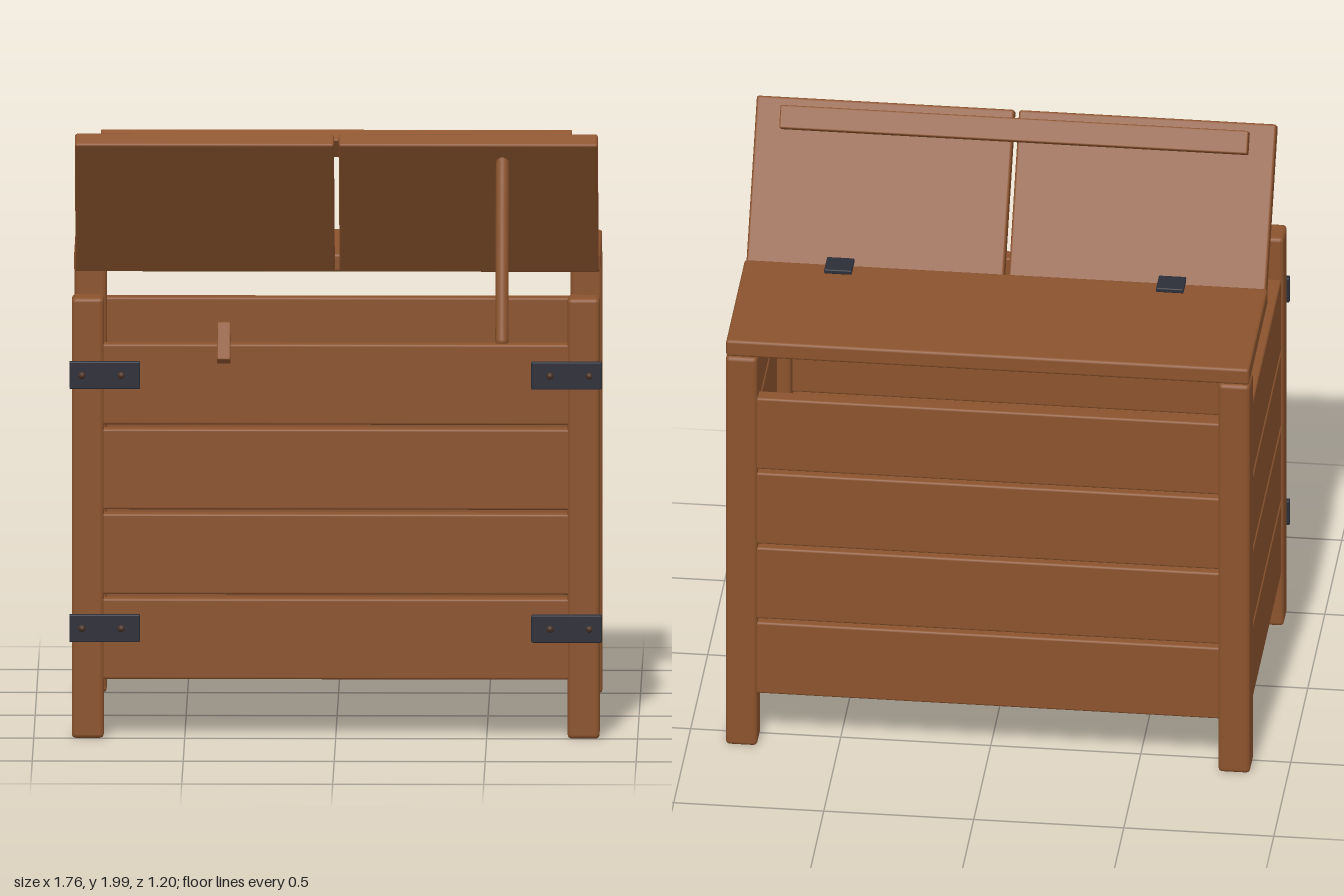
import * as THREE from 'three';
import { RoundedBoxGeometry } from 'three/addons/geometries/RoundedBoxGeometry.js';

const material = (name, color) => {
  const m = new THREE.MeshStandardMaterial({ color });
  m.name = name;
  return m;
};

export function createModel() {
  const wood = material('wood', 0x8b532d);
  const iron = material('iron', 0x2c2e38);
  const bolt = material('bolt', 0x4a3328);
  const liner = material('liner', 0x524c47);
  const model = new THREE.Group();
  model.name = 'storageBin';

  // Softly rounded box given by its [min, max] on each axis
  function box(name, mat, [x0, x1], [y0, y1], [z0, z1], r = 0.008, parent = model) {
    const mesh = new THREE.Mesh(new RoundedBoxGeometry(x1 - x0, y1 - y0, z1 - z0, 2, r), mat);
    mesh.position.set((x0 + x1) / 2, (y0 + y1) / 2, (z0 + z1) / 2);
    mesh.name = name;
    parent.add(mesh);
    return mesh;
  }

  // Bar between two points in the y-z plane, at a given x
  function place(name, geometry, x, [z0, y0], [z1, y1]) {
    const mesh = new THREE.Mesh(geometry, wood);
    mesh.name = name;
    mesh.position.set(x, (y0 + y1) / 2, (z0 + z1) / 2);
    mesh.rotation.x = Math.atan2(z1 - z0, y1 - y0);
    model.add(mesh);
  }

  // Corner posts
  for (const s of [-1, 1]) {
    const x = s * 0.821;
    box('frontPost', wood, [x - 0.053, x + 0.053], [0, 1.475], [0.4, 0.507], 0.014);
    box('backPost', wood, [x - 0.053, x + 0.053], [0, 1.475], [-0.595, -0.488], 0.014);
  }

  // Four courses of wall slats with narrow gaps
  for (let i = 0; i < 4; i++) {
    const y = [0.197 + i * 0.2843, 0.197 + i * 0.2843 + 0.27];
    box('frontSlat', wood, [-0.79, 0.79], y, [0.442, 0.497]);
    box('backSlat', wood, [-0.79, 0.79], y, [-0.585, -0.53]);
    for (const s of [-1, 1]) {
      box('sideSlat', wood, [s * 0.84 - 0.026, s * 0.84 + 0.026], y, [-0.51, 0.42]);
    }
  }

  // Floor and its liner
  box('floor', wood, [-0.815, 0.815], [0.2, 0.24], [-0.53, 0.442], 0.004);
  box('floorLiner', liner, [-0.785, 0.785], [0.238, 0.25], [-0.5, 0.415], 0.003);

  // Fixed rear lid
  box('rearLid', wood, [-0.872, 0.872], [1.48, 1.54], [-0.597, -0.045], 0.01);

  // Raised front lid: two boards and a batten, laid along local z
  const lid = new THREE.Group();
  lid.name = 'frontLid';
  lid.position.set(0, 1.5, -0.035);
  lid.rotation.x = -Math.atan2(0.475, 0.32);
  model.add(lid);
  for (const s of [-1, 1]) {
    box('lidBoard', wood, [s * 0.437 - 0.429, s * 0.437 + 0.429], [-0.03, 0.03], [0, 0.573], 0.008, lid);
  }
  box('lidBatten', wood, [-0.78, 0.78], [0.028, 0.083], [0.465, 0.542], 0.005, lid);

  // Lid hinges
  for (const s of [-1, 1]) {
    box('lidHinge', iron, [s * 0.553 - 0.046, s * 0.553 + 0.046], [1.542, 1.558], [-0.117, 0.03], 0.004);
  }

  // Corner brackets with bolts
  for (const s of [-1, 1]) {
    for (const y of [0.372, 1.22]) {
      box('cornerBracket', iron, [s * 0.765 - 0.117, s * 0.765 + 0.117], [y - 0.046, y + 0.046], [0.506, 0.53], 0.004);
      for (const x of [0.71, 0.84]) {
        const head = new THREE.Mesh(new THREE.SphereGeometry(0.012, 12, 8), bolt);
        head.name = 'bracketBolt';
        head.position.set(s * x, y, 0.53);
        model.add(head);
      }
    }
  }

  // Prop holding the lid open
  place('lidProp', new THREE.CapsuleGeometry(0.022, 0.62, 6, 16), 0.55, [0.46, 1.32], [0.255, 1.92]);

  // Hooked latch arm over the front wall
  const arm = (length) => new RoundedBoxGeometry(0.044, length, 0.03, 2, 0.004);
  place('latchFrontArm', arm(0.15), -0.37, [0.585, 1.285], [0.498, 1.378]);
  place('latchInnerArm', arm(0.22), -0.37, [0.51, 1.375], [0.335, 1.26]);

  // Ring behind the latch
  const ring = new THREE.Mesh(new THREE.TorusGeometry(0.1, 0.012, 10, 40), wood);
  ring.name = 'latchRing';
  ring.rotation.x = Math.PI / 2;
  ring.position.set(-0.37, 1.2, 0.32);
  model.add(ring);

  return model;
}
